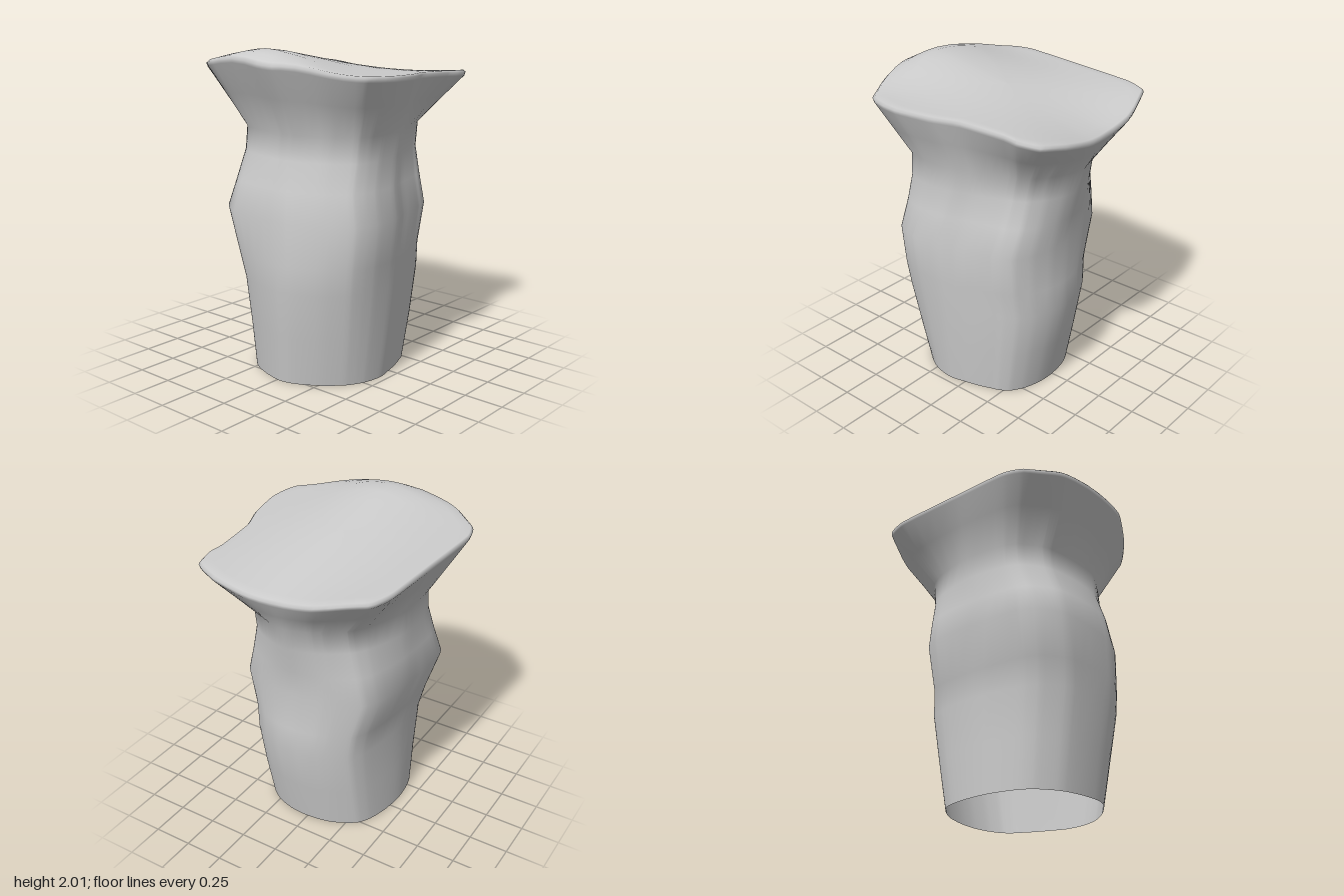
import * as THREE from 'three';

const STEPS = 4; // subdivisions between rim points

// Plan outline of the flared rim, as [x, z], running left side -> front -> right -> back
const RIM = [
  [-0.72, 0], [-0.72, 0.15], [-0.62, 0.42], [-0.5, 0.62], [-0.39, 0.66], [-0.27, 0.67],
  [-0.05, 0.63], [0.13, 0.565], [0.42, 0.54], [0.52, 0.55], [0.65, 0.515], [0.71, 0.37],
  [0.72, 0.17], [0.7, -0.05], [0.69, -0.25], [0.665, -0.36], [0.6, -0.54], [0.56, -0.58],
  [0.44, -0.62], [0, -0.655], [-0.35, -0.68], [-0.48, -0.64], [-0.61, -0.49], [-0.65, -0.4],
];

// Trunk levels: y, min x, max x, min z, max z, corner rounding,
// then the outward shift of the corners (+x+z, -x+z, +x-z, -x-z)
const LEVELS = [
  [0, -0.55, 0.375, -0.42, 0.465, 0.6, -0.015, -0.05, 0, -0.01],
  [0.3, -0.585, 0.44, -0.42, 0.5, 0.55, -0.03, -0.03, 0, 0],
  [0.6, -0.62, 0.5, -0.42, 0.53, 0.5, -0.05, -0.01, 0, 0.015],
  [0.76, -0.62, 0.485, -0.44, 0.545, 0.45, -0.05, 0, 0, 0.04],
  [1.02, -0.617, 0.475, -0.515, 0.57, 0.4, -0.02, 0.005, 0.01, 0.055],
  [1.2, -0.585, 0.505, -0.49, 0.52, 0.4, -0.04, 0.01, -0.02, 0.03],
  [1.37, -0.525, 0.54, -0.485, 0.497, 0.4, -0.075, 0.035, -0.07, 0.015],
  [1.52, -0.512, 0.575, -0.485, 0.5, 0.35, -0.09, 0.035, -0.09, 0.01],
];

// Height of the saddle-shaped top: a ridge on one side running down to a dip on the other
function topHeight(x, z) {
  const edge = 1.873 - 0.04 * x - 0.015 * z;
  const past = Math.max(0, -x - 0.5);
  const ridge = -0.157 * (x - 0.19) - 2 * past * past;
  const t = Math.min(1, Math.abs(z + 0.03) / 0.63);
  return edge + ridge * Math.cos((t * Math.PI) / 2) ** 2;
}

// One trunk section: the rim outline fitted to the level, rounded, with its corners shifted
function trunkRing(outline, [y, x0, x1, z0, z1, round, ...corners]) {
  return outline.map((p) => {
    const nx = p.x / 0.72, nz = p.z / 0.675;
    const k = 1.015 / THREE.MathUtils.lerp(1, Math.hypot(nx, nz), round);
    const corner = corners[(nx < 0 ? 1 : 0) + (nz < 0 ? 2 : 0)];
    const shift = corner * Math.min(1, 1.4 * Math.abs(nx * nz)) * Math.SQRT1_2;
    return [
      (x0 + x1) / 2 + (nx * k * (x1 - x0)) / 2 + Math.sign(nx) * shift, y,
      (z0 + z1) / 2 + (nz * k * (z1 - z0)) / 2 + Math.sign(nz) * shift,
    ];
  });
}

function createPillarGeometry() {
  const curve = new THREE.CatmullRomCurve3(
    RIM.map(([x, z]) => new THREE.Vector3(x, 0, z)), true, 'catmullrom', 0.25);
  const count = RIM.length * STEPS;
  const outline = curve.getPoints(count).slice(0, count);
  const rings = LEVELS.map((level) => trunkRing(outline, level));

  // Flare and narrow lip
  const neck = rings[rings.length - 1];
  const lip = outline.map((p) => [p.x * 0.99, topHeight(p.x, p.z) - 0.035, p.z * 0.99]);
  rings.push(neck.map((n, i) => n.map((v, k) => THREE.MathUtils.lerp(v, lip[i][k], 0.55))));
  rings.push(lip);
  rings.push(outline.map((p) => [p.x, topHeight(p.x, p.z) - 0.012, p.z]));

  // Top surface in shrinking rings
  for (const s of [0.98, 0.9, 0.78, 0.64, 0.48, 0.32, 0.16, 0.001]) {
    rings.push(outline.map((p) => [p.x * s, topHeight(p.x * s, p.z * s), p.z * s]));
  }

  const index = [];
  for (let r = 0; r < rings.length - 1; r++) {
    for (let i = 0; i < count; i++) {
      const a = r * count + i, b = r * count + ((i + 1) % count);
      index.push(a, b, b + count, a, b + count, a + count);
    }
  }
  const geometry = new THREE.BufferGeometry();
  geometry.setAttribute('position', new THREE.Float32BufferAttribute(rings.flat(2), 3));
  geometry.setIndex(index);
  geometry.computeVertexNormals();
  return geometry;
}

export function createModel() {
  const group = new THREE.Group();
  group.name = 'rockPillar';
  // Open at the base, so both sides are drawn
  const material = new THREE.MeshStandardMaterial({ color: 0xcccccc, side: THREE.DoubleSide });
  const pillar = new THREE.Mesh(createPillarGeometry(), material);
  pillar.name = 'pillar';
  group.add(pillar);
  return group;
}
